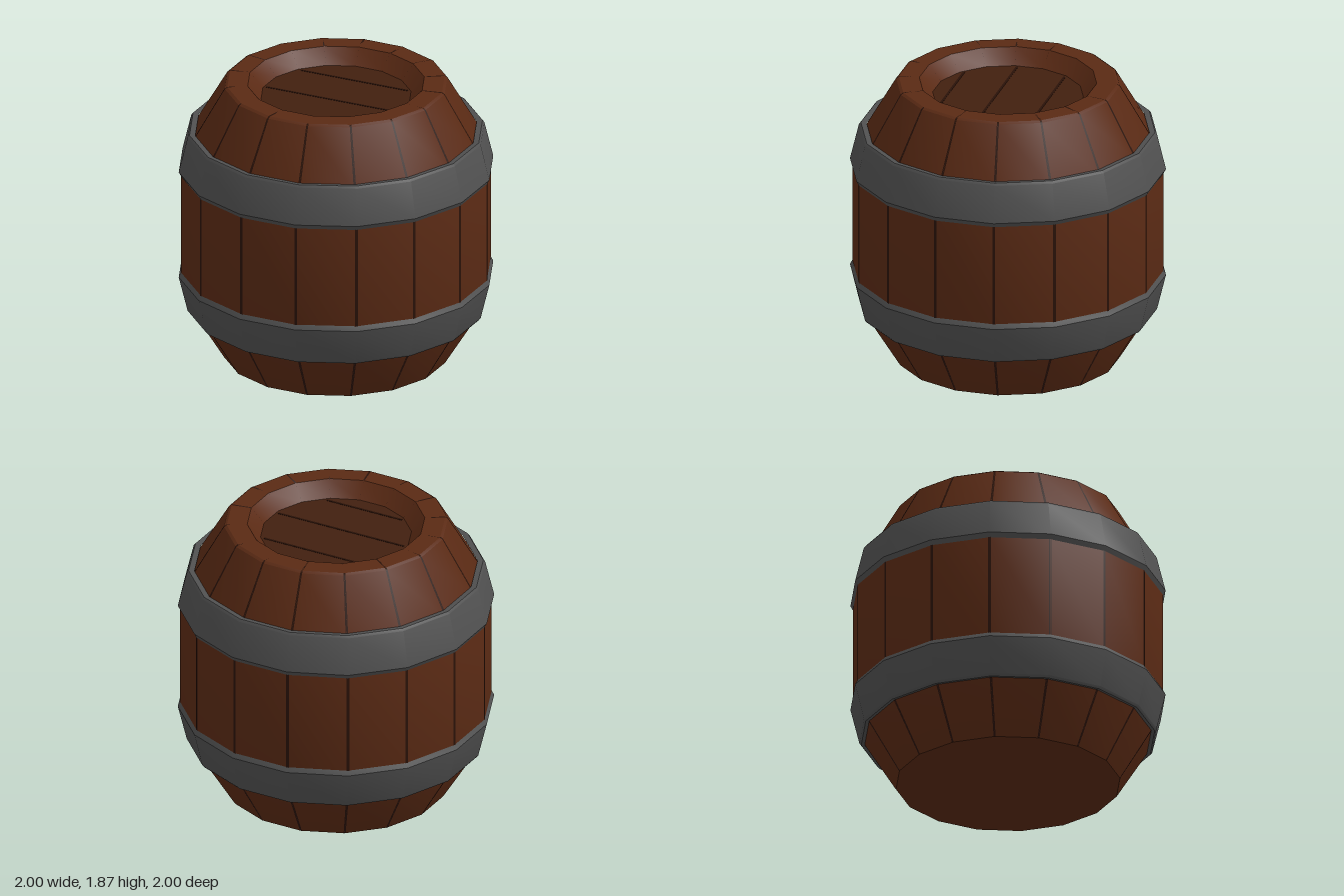
import * as THREE from 'three';
import { toCreasedNormals } from 'three/addons/utils/BufferGeometryUtils.js';

const SIDES = 16;
const STEP = (Math.PI * 2) / SIDES;
const START = -0.11; // turn of the sixteen-sided section
const MIDDLE = 0.933; // half the height

const wood = new THREE.MeshStandardMaterial({ color: 0x5a2a14 });
const seamWood = new THREE.MeshStandardMaterial({ color: 0x2a1208 });
const lidWood = new THREE.MeshStandardMaterial({ color: 0x42200f });
const iron = new THREE.MeshStandardMaterial({ color: 0x505050 });

const toPoints = (list) => list.map(([r, y]) => new THREE.Vector2(r, y));

function lathe(name, profile, material) {
  const geometry = new THREE.LatheGeometry(toPoints(profile), SIDES, START);
  const mesh = new THREE.Mesh(toCreasedNormals(geometry, 0.45), material);
  mesh.name = name;
  return mesh;
}

export function createModel() {
  const barrel = new THREE.Group();
  barrel.name = 'barrel';

  // Staves: bulging wall, then the thick rim and the recess inside it
  const wall = [
    [0.715, 0], [0.925, 0.34], [0.99, 0.59],
    [0.99, 1.275], [0.925, 1.49], [0.712, 1.855], [0.695, 1.866],
    [0.565, 1.866], [0.48, 1.77],
  ];
  barrel.add(lathe('staves', wall, wood));
  barrel.add(lathe('base', [[0, 0], [0.715, 0]], wood));
  barrel.add(lathe('lid', [[0.48, 1.77], [0, 1.77]], lidWood));

  // Dark seams where neighbouring staves meet
  const seams = new THREE.Group();
  seams.name = 'staveSeams';
  const seamWidth = 0.018;
  for (let i = 0; i < SIDES; i++) {
    const angle = START + i * STEP;
    const seam = new THREE.Mesh(
      new THREE.LatheGeometry(toPoints(wall), 1, angle - seamWidth / 2, seamWidth), seamWood);
    seam.name = 'staveSeam';
    seams.add(seam);
  }
  barrel.add(seams);

  // Gaps between the lid planks
  const gaps = new THREE.Group();
  gaps.name = 'lidGaps';
  for (const offset of [-0.265, 0.07, 0.37]) {
    const length = 2 * Math.sqrt(0.46 ** 2 - offset ** 2);
    const gap = new THREE.Mesh(new THREE.BoxGeometry(length, 0.004, 0.016), seamWood);
    gap.name = 'lidGap';
    gap.position.set(0, 1.77, offset);
    gaps.add(gap);
  }
  gaps.rotation.y = THREE.MathUtils.degToRad(28);
  barrel.add(gaps);

  // Hoops: the upper one mirrors the lower one about the middle
  const hoop = [
    [0.9, 0.325], [0.937, 0.32], [0.949, 0.335], [1.006, 0.57], [0.99, 0.6], [0.965, 0.595],
  ];
  const mirrored = hoop.map(([r, y]) => [r, 2 * MIDDLE - y]).reverse();
  barrel.add(lathe('lowerHoop', hoop, iron));
  barrel.add(lathe('upperHoop', mirrored, iron));

  return barrel;
}
